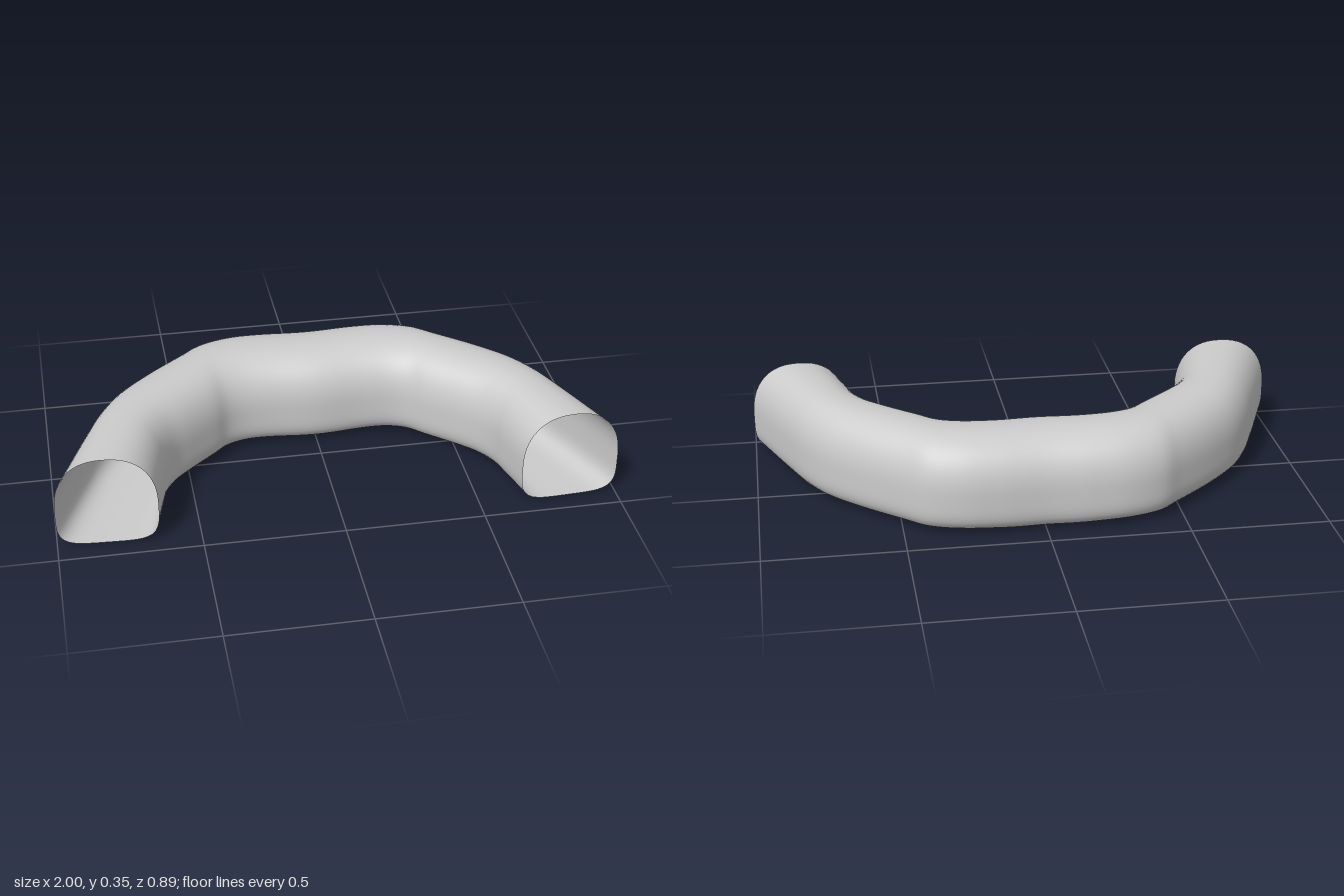
import * as THREE from 'three';

// Plan outline of the right half, from the middle to the open end: outer x, z, inner x, z
const STATIONS = [
  [0, -0.438, 0, -0.074],
  [0.17, -0.445, 0.17, -0.083],
  [0.30, -0.438, 0.27, -0.075],
  [0.42, -0.40, 0.335, -0.05],
  [0.50, -0.335, 0.39, 0],
  [0.65, -0.205, 0.48, 0.08],
  [0.76, -0.09, 0.55, 0.15],
  [0.83, 0.02, 0.59, 0.22],
  [0.89, 0.155, 0.61, 0.29],
  [1.0, 0.424, 0.646, 0.442],
];
const LENGTH_STEPS = 108, RING_STEPS = 64;
const MID_Y = 0.15, TOP = 0.347, BOTTOM = 0.008;

// Mirrors one edge of the plan into a full smooth curve
function edgeCurve(k) {
  const half = STATIONS.map((s) => new THREE.Vector3(s[k], 0, s[k + 1]));
  const mirrored = half.slice(1).reverse().map((p) => new THREE.Vector3(-p.x, 0, p.z));
  return new THREE.CatmullRomCurve3([...mirrored, ...half]);
}

// Rounded arch above, flat base with tight corners below; w runs -1 (inner) to 1 (outer)
function section(a) {
  const c = Math.cos(a), s = Math.sin(a);
  const n = s >= 0 ? 2.35 : 4.5;
  const r = Math.pow(Math.abs(c) ** n + Math.abs(s) ** n, -1 / n);
  return { w: c * r, h: s * r };
}

function tubeGeometry() {
  const outer = edgeCurve(0), inner = edgeCurve(2);
  const positions = [], indices = [];
  for (let i = 0; i <= LENGTH_STEPS; i++) {
    const o = outer.getPoint(i / LENGTH_STEPS), n = inner.getPoint(i / LENGTH_STEPS);
    const mid = o.clone().add(n).multiplyScalar(0.5);
    const arm = o.clone().sub(n).multiplyScalar(0.5);
    // the base sags slightly around the middle
    const sag = 0.008 * (1 - THREE.MathUtils.smoothstep(Math.abs(mid.x), 0.05, 0.3));
    for (let j = 0; j < RING_STEPS; j++) {
      const { w, h } = section((j / RING_STEPS) * Math.PI * 2);
      const y = MID_Y + h * (h > 0 ? TOP - MID_Y - sag * 0.4 : MID_Y - BOTTOM + sag);
      positions.push(mid.x + arm.x * w, y, mid.z + arm.z * w);
      if (i < LENGTH_STEPS) {
        const k = (j + 1) % RING_STEPS;
        const a = i * RING_STEPS + j, b = i * RING_STEPS + k;
        indices.push(a, b, a + RING_STEPS, b, b + RING_STEPS, a + RING_STEPS);
      }
    }
  }
  const geometry = new THREE.BufferGeometry();
  geometry.setAttribute('position', new THREE.Float32BufferAttribute(positions, 3));
  geometry.setIndex(indices);
  geometry.computeVertexNormals();
  return geometry;
}

export function createModel() {
  const group = new THREE.Group();
  group.name = 'curvedTunnel';
  // Thin open-ended shell
  const material = new THREE.MeshStandardMaterial({ color: 0xcccccc, side: THREE.DoubleSide });
  const shell = new THREE.Mesh(tubeGeometry(), material);
  shell.name = 'tunnelShell';
  group.add(shell);
  return group;
}
